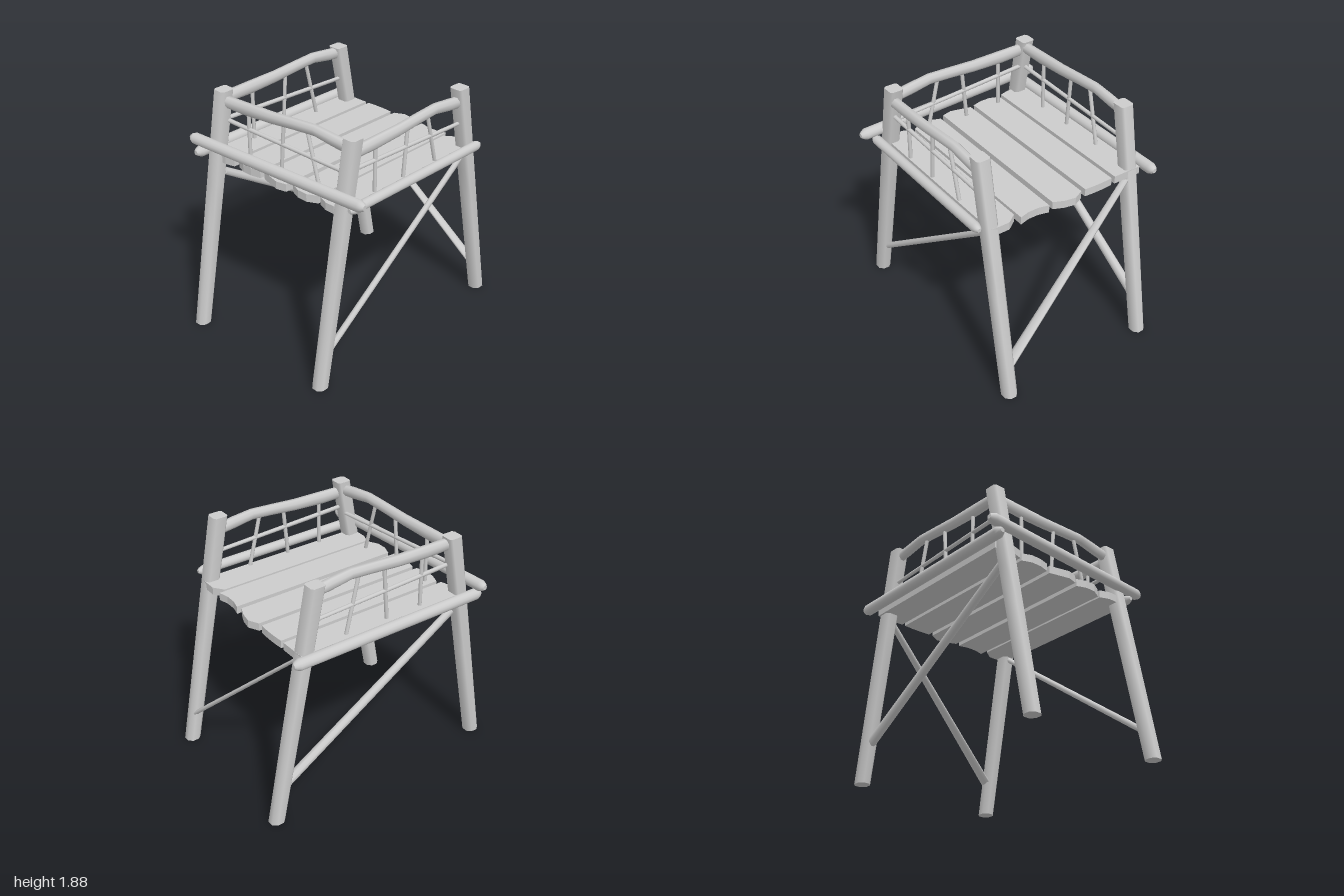
import * as THREE from 'three';

const material = new THREE.MeshStandardMaterial({ color: 0xcccccc });
const V = (x, y, z) => new THREE.Vector3(x, y, z);

// Skin closed rings (arrays of Vector3, counter-clockwise about the path), capped at both ends
function skin(rings) {
  const n = rings[0].length, pos = [], index = [];
  const add = (p) => pos.push(p.x, p.y, p.z);
  rings.forEach((r) => r.forEach(add));
  for (let i = 0; i < rings.length - 1; i++) {
    for (let j = 0; j < n; j++) {
      const a = i * n + j, b = i * n + (j + 1) % n;
      index.push(a, b, a + n, b, b + n, a + n);
    }
  }
  [rings[0], rings[rings.length - 1]].forEach((ring, end) => {
    const s = pos.length / 3;
    ring.forEach(add);
    for (let j = 1; j < n - 1; j++) {
      index.push(s, s + (end ? j : j + 1), s + (end ? j + 1 : j));
    }
  });
  const g = new THREE.BufferGeometry();
  g.setAttribute('position', new THREE.Float32BufferAttribute(pos, 3));
  g.setIndex(index);
  g.computeVertexNormals();
  return g;
}

// Pole through stations [point, half width, half height]
function pole(stations, sides = 10) {
  const d = stations[stations.length - 1][0].clone().sub(stations[0][0]).normalize();
  const u = d.clone().cross(Math.abs(d.y) > 0.85 ? V(0, 0, 1) : V(0, 1, 0)).normalize();
  const v = d.clone().cross(u);
  return skin(stations.map(([p, a, b = a]) => Array.from({ length: sides }, (_, j) => {
    const t = (j + 0.5) / sides * Math.PI * 2;
    return p.clone().addScaledVector(u, a * Math.cos(t)).addScaledVector(v, b * Math.sin(t));
  })));
}

// Log with blunt, tapered tips
function log(a, b, r) {
  const len = a.distanceTo(b);
  const at = (s) => a.clone().lerp(b, s / len);
  return pole([[at(0), r * 0.4], [at(0.015), r * 0.7], [at(0.045), r], [at(len / 2), r],
    [at(len - 0.045), r], [at(len - 0.015), r * 0.7], [at(len), r * 0.4]], 14);
}

// Leg with level ends; its chamfered square section is rounder at the foot
function leg(foot, top) {
  const rings = [0, 0.45, 0.62, 1].map((t) => {
    const p = foot.clone().lerp(top, t);
    const h = 0.054, k = h * THREE.MathUtils.lerp(0.45, 0.72, t);
    return [[h, -k], [h, k], [k, h], [-k, h], [-h, k], [-h, -k], [-k, -h], [k, -h]]
      .map(([z, x]) => V(p.x + x, p.y, p.z + z * 1.06));
  });
  return skin(rings);
}

export function createModel() {
  const model = new THREE.Group();
  const add = (name, geometry, parent = model) => {
    const m = new THREE.Mesh(geometry, material);
    m.name = name;
    parent.add(m);
  };

  // Splayed legs
  add('frontRightLeg', leg(V(-0.615, 0, 0.943), V(-0.63, 1.86, 0.59)));
  add('frontLeftLeg', leg(V(0.61, 0, 0.873), V(0.59, 1.86, 0.518)));
  add('backRightLeg', leg(V(-0.615, 0, -0.943), V(-0.625, 1.86, -0.59)));
  add('backLeftLeg', leg(V(0.605, 0, -0.943), V(0.595, 1.875, -0.59)));

  // Seat planks: left x, right x, back edge z values, front edge z values (both left to right)
  const planks = [
    [-0.69, -0.46, [-0.74, -0.74, -0.74, -0.74], [0.66, 0.69, 0.69, 0.67]],
    [-0.43, -0.19, [-0.74, -0.745, -0.745, -0.74], [0.65, 0.68, 0.68, 0.66]],
    [-0.155, 0.09, [-0.74, -0.78, -0.765, -0.73], [0.65, 0.67, 0.69, 0.67]],
    [0.13, 0.37, [-0.745, -0.725, -0.725, -0.745], [0.64, 0.67, 0.67, 0.63]],
    [0.39, 0.62, [-0.69, -0.745, -0.745, -0.74], [0.63, 0.66, 0.66, 0.64]],
  ];
  const seat = new THREE.Group();
  seat.name = 'seat';
  model.add(seat);
  planks.forEach(([x0, x1, back, front]) => {
    const px = (i) => x0 + (x1 - x0) * [0, 0.33, 0.67, 1][i];
    const pts = back.map((z, i) => new THREE.Vector2(px(i), -z))
      .concat(front.map((z, i) => new THREE.Vector2(px(i), -z)).reverse());
    const g = new THREE.ExtrudeGeometry(new THREE.Shape(pts), { depth: 0.06, bevelEnabled: false });
    g.rotateX(-Math.PI / 2).translate(0, 1.32, 0);
    add('seatPlank', g, seat);
  });

  // Outer logs around the seat
  add('frontLog', log(V(-0.83, 1.47, 0.76), V(0.82, 1.47, 0.65), 0.044));
  add('rightLog', log(V(-0.74, 1.38, 0.8), V(-0.74, 1.38, -0.85), 0.044));
  add('leftLog', log(V(0.7, 1.405, 0.67), V(0.7, 1.405, -0.73), 0.037));

  // Railing panel from a to b (y ignored): wavy top rail, thin middle rail, three spindles
  function railing(name, a, b, lift) {
    const group = new THREE.Group();
    group.name = name;
    model.add(group);
    const at = (t, y) => V(a.x + (b.x - a.x) * t, y, a.z + (b.z - a.z) * t);
    const wave = [[0, 1.775, 0.046], [0.18, 1.777, 0.05], [0.4, 1.787, 0.045],
      [0.58, 1.805, 0.042], [0.74, 1.818, 0.041], [0.88, 1.797, 0.046], [1, 1.78, 0.044]];
    add('topRail', pole(wave.map(([t, y, h]) => [at(t, y + lift), 0.038, h]), 8), group);
    add('middleRail', pole([[at(0, 1.63), 0.017], [at(1, 1.585), 0.015]], 8), group);
    [[0.2, 0.2], [0.49, 0.46], [0.68, 0.77]].forEach(([top, foot]) => {
      add('spindle', pole([[at(foot, 1.36), 0.015], [at(top, 1.78 + lift), 0.015]], 8), group);
    });
  }
  railing('frontRailing', V(-0.61, 0, 0.6), V(0.58, 0, 0.535), 0);
  railing('rightRailing', V(-0.62, 0, 0.56), V(-0.62, 0, -0.6), 0.025);
  railing('leftRailing', V(0.6, 0, 0.54), V(0.6, 0, -0.6), -0.02);

  // Diagonal braces between the legs
  add('leftBrace', pole([[V(0.6, 0.25, 0.79), 0.024], [V(0.6, 1.32, -0.68), 0.022]], 8));
  add('rightBrace', pole([[V(-0.615, 1.22, 0.64), 0.03], [V(-0.615, 0.29, -0.88), 0.037]], 8));
  add('backBrace', pole([[V(-0.6, 1.32, -0.72), 0.028, 0.014], [V(0.58, 0.24, -0.9), 0.044, 0.018]], 8));

  return model;
}
